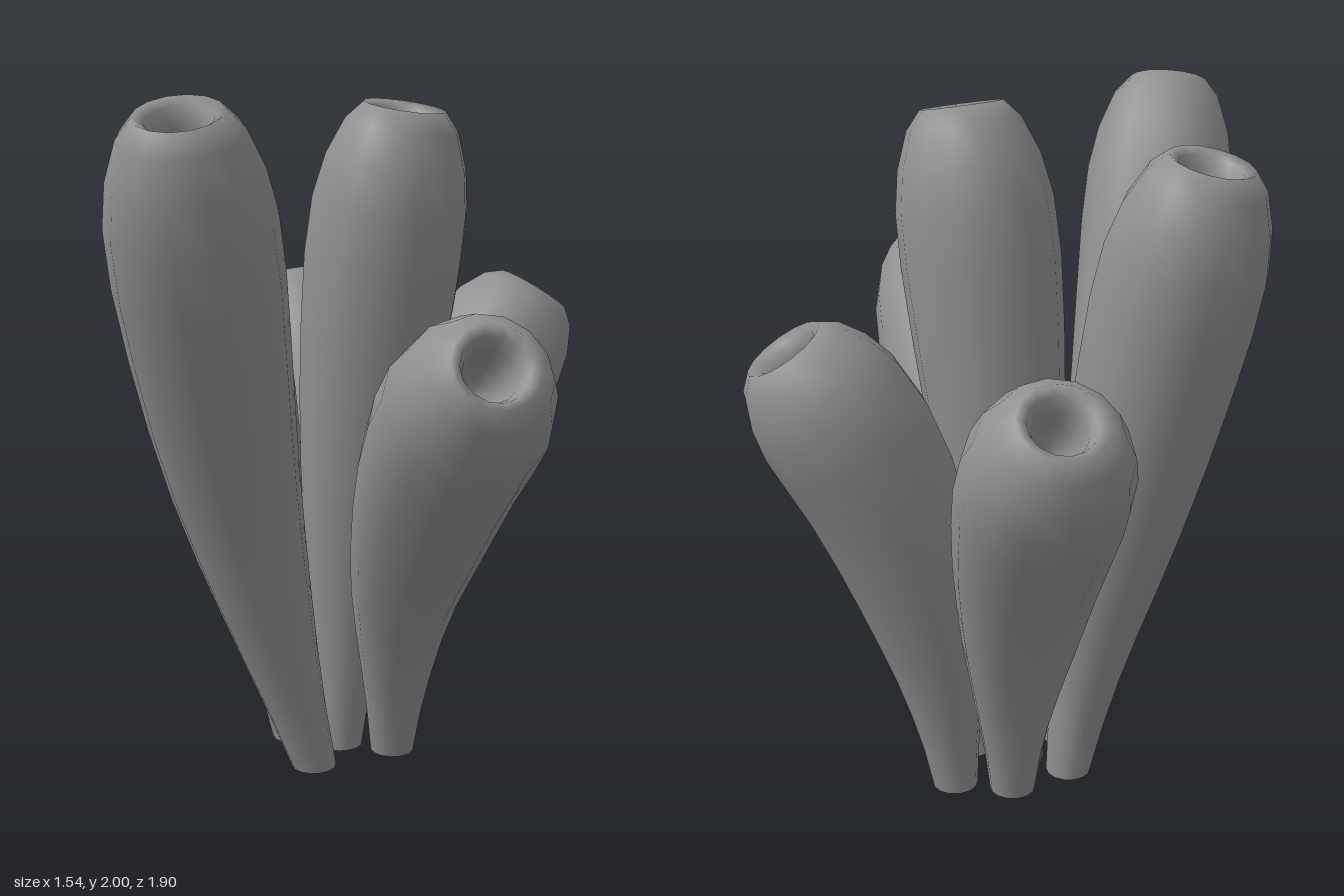
import * as THREE from 'three';
import { mergeVertices } from 'three/addons/utils/BufferGeometryUtils.js';

const SIDES = 14;

// Radius against the fraction of length: swelling wall, rounded lip, then the mouth turning inward
const PROFILE = [
  [0.067, 0], [0.084, 0.09], [0.107, 0.18], [0.132, 0.27], [0.157, 0.36], [0.181, 0.46],
  [0.202, 0.57], [0.217, 0.68], [0.226, 0.78], [0.222, 0.86], [0.2, 0.92], [0.16, 0.972],
  [0.115, 0.998], [0.088, 0.99], [0.071, 0.965], [0.062, 0.925], [0.05, 0.885], [0, 0.875],
].map(([r, t]) => new THREE.Vector2(r, t));

// Centre line of each tube, from the foot to the mouth
const TUBES = {
  centreTube: [[-0.006, 0, -0.118], [0.015, 0.45, -0.1], [0.045, 1, -0.05], [0.085, 1.6, 0.02], [0.12, 1.96, 0.07]],
  frontRightTube: [[-0.135, 0, 0.005], [-0.235, 0.35, 0.03], [-0.395, 0.94, 0.11], [-0.53, 1.55, 0.29], [-0.605, 1.96, 0.43]],
  backRightTube: [[-0.127, 0, -0.22], [-0.18, 0.4, -0.24], [-0.27, 0.95, -0.3], [-0.37, 1.55, -0.38], [-0.42, 1.87, -0.445]],
  backTube: [[0.06, 0, -0.276], [0.065, 0.27, -0.315], [0.07, 0.54, -0.39], [0.075, 0.84, -0.51], [0.08, 1.07, -0.65], [0.08, 1.35, -0.845]],
  leftTube: [[0.22, 0, -0.21], [0.245, 0.26, -0.21], [0.29, 0.53, -0.21], [0.375, 0.85, -0.215], [0.48, 1.1, -0.215], [0.665, 1.385, -0.21]],
  frontTube: [[0.13, 0, -0.025], [0.115, 0.29, 0.045], [0.095, 0.57, 0.155], [0.08, 0.81, 0.31], [0.06, 1.07, 0.52], [0.05, 1.27, 0.73], [0.04, 1.38, 0.885]],
};

// Turned profile bent along the centre line; the foot stays level
function bentTube(points) {
  const curve = new THREE.CatmullRomCurve3(points.map((p) => new THREE.Vector3(...p)));
  let geo = new THREE.LatheGeometry(PROFILE, SIDES);
  geo.deleteAttribute('uv');
  geo.deleteAttribute('normal');
  const pos = geo.attributes.position;
  const up = new THREE.Vector3(0, 1, 0);
  const v = new THREE.Vector3();
  for (let i = 0; i < pos.count; i++) {
    const t = pos.getY(i);
    const turn = new THREE.Quaternion().setFromUnitVectors(up, curve.getTangentAt(t));
    const q = new THREE.Quaternion().slerp(turn, Math.min(t / 0.15, 1));
    v.set(pos.getX(i), 0, pos.getZ(i)).applyQuaternion(q).add(curve.getPointAt(t));
    pos.setXYZ(i, v.x, v.y, v.z);
  }
  geo = mergeVertices(geo, 1e-5);
  geo.computeVertexNormals();
  return geo;
}

export function createModel() {
  const model = new THREE.Group();
  model.name = 'tubeCluster';
  const grey = new THREE.MeshStandardMaterial({ color: 0x909090 });
  grey.name = 'grey';

  for (const [name, points] of Object.entries(TUBES)) {
    const tube = new THREE.Group();
    tube.name = name;

    const body = new THREE.Mesh(bentTube(points), grey);
    body.name = 'body';

    // Flat underside
    const foot = new THREE.Mesh(new THREE.CircleGeometry(PROFILE[0].x, SIDES), grey);
    foot.name = 'foot';
    foot.rotation.set(Math.PI / 2, 0, Math.PI / 2);
    foot.position.set(...points[0]);

    tube.add(body, foot);
    model.add(tube);
  }
  return model;
}
